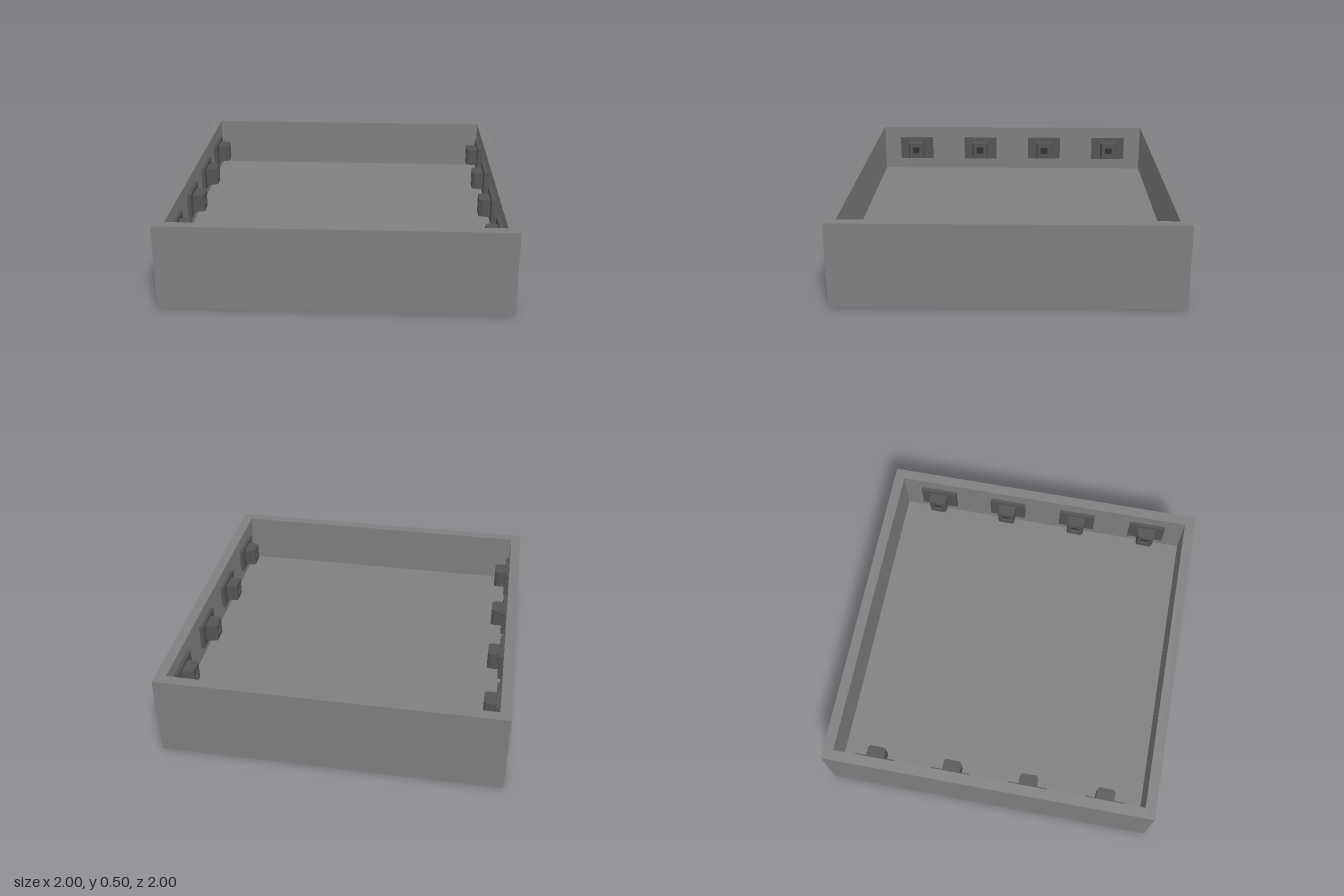
import * as THREE from 'three';

const paint = (color) => new THREE.MeshStandardMaterial({ color, flatShading: true });
const trayMaterial = paint(0x808080);
const fixtureMaterial = paint(0x545454);
const recessMaterial = paint(0x303030);

function addMesh(parent, name, geometry, material, x = 0, y = 0, z = 0) {
  const mesh = new THREE.Mesh(geometry, material);
  mesh.name = name;
  mesh.position.set(x, y, z);
  parent.add(mesh);
  return mesh;
}

function square(path, size) {
  const h = size / 2;
  return path.moveTo(-h, -h).lineTo(h, -h).lineTo(h, h).lineTo(-h, h).closePath();
}

// Square frame, extruded along +z
function frame(size, holeSize, depth, steps = 1) {
  const shape = square(new THREE.Shape(), size);
  shape.holes.push(square(new THREE.Path(), holeSize));
  return new THREE.ExtrudeGeometry(shape, { depth, steps, bevelEnabled: false });
}

// Hollow socket whose two upright front edges are chamfered
function socketGeometry() {
  const size = 0.11, depth = 0.08;
  const geometry = frame(size, 0.05, depth, 5);
  const position = geometry.attributes.position;
  for (let i = 0; i < position.count; i++) {
    const x = position.getX(i);
    if (position.getZ(i) > depth - 0.001 && Math.abs(x) > size / 2 - 0.001) {
      position.setX(i, x * 0.82);
    }
  }
  geometry.computeVertexNormals();
  return geometry;
}

// Wall fixture facing local +z
function createFixture() {
  const fixture = new THREE.Group();
  fixture.name = 'wallFixture';
  const plate = new THREE.BoxGeometry(0.234, 0.156, 0.022);
  addMesh(fixture, 'mountingPlate', plate, fixtureMaterial, 0, 0, 0.011);
  addMesh(fixture, 'socket', socketGeometry(), fixtureMaterial, 0, 0, 0.011);
  const core = new THREE.BoxGeometry(0.06, 0.06, 0.06);
  addMesh(fixture, 'socketCore', core, recessMaterial, 0, 0, 0.045);
  return fixture;
}

export function createModel() {
  const model = new THREE.Group();
  model.name = 'tray';
  const inner = 0.9375, floorHeight = 0.1875;

  // Outer walls and raised floor
  addMesh(model, 'walls', frame(2, inner * 2, 0.5), trayMaterial).rotation.x = -Math.PI / 2;
  const floor = new THREE.BoxGeometry(inner * 2, floorHeight, inner * 2);
  addMesh(model, 'floor', floor, trayMaterial, 0, floorHeight / 2);

  // Four fixtures on each side wall, facing inward
  for (const side of [-1, 1]) {
    for (let i = 0; i < 4; i++) {
      const fixture = createFixture();
      fixture.position.set(side * inner, 0.345, (i - 1.5) * 0.469);
      fixture.rotation.y = -side * Math.PI / 2;
      model.add(fixture);
    }
  }
  return model;
}
